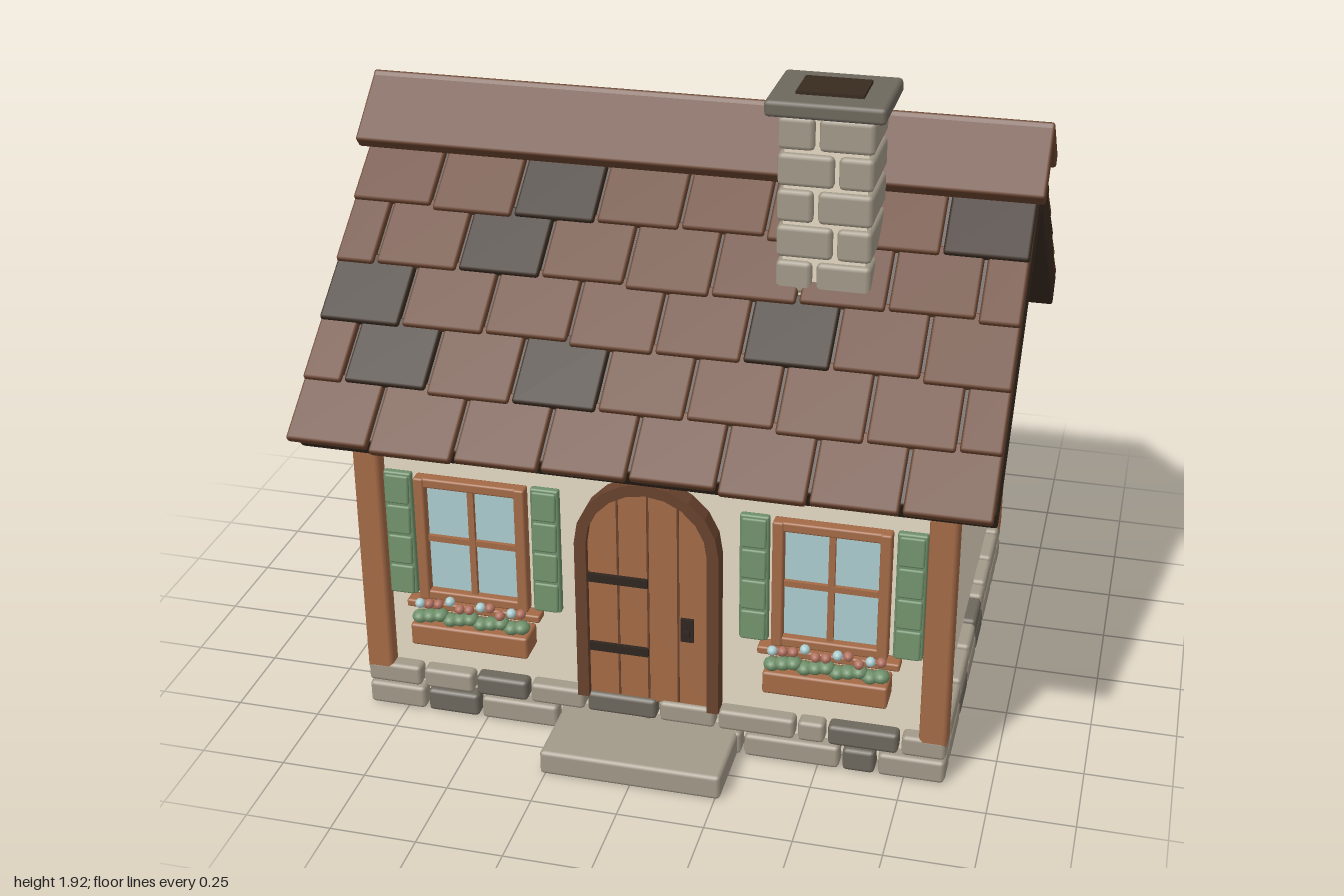
import * as THREE from 'three';
import { RoundedBoxGeometry } from 'three/addons/geometries/RoundedBoxGeometry.js';

const paint = (name, color) => Object.assign(new THREE.MeshStandardMaterial({ color }), { name });
const M = {
  wall: paint('plaster', 0xe5dac3),
  tile: paint('roof tile', 0x68422d),
  dark: paint('dark timber', 0x382a1f),
  wood: paint('warm wood', 0xa46a46),
  iron: paint('iron', 0x30261f),
  green: paint('shutter green', 0x6e8f69),
  glass: paint('glass', 0xaccdd0),
  stone: paint('stone', 0xa29988),
  slate: paint('dark stone', 0x6e685d),
  bloom: paint('blossom', 0xb0705e),
};

function add(parent, name, geometry, material, x = 0, y = 0, z = 0) {
  const mesh = new THREE.Mesh(geometry, material);
  mesh.name = name;
  mesh.position.set(x, y, z);
  parent.add(mesh);
  return mesh;
}
function group(parent, name, x = 0, y = 0, z = 0) {
  const g = new THREE.Group();
  g.name = name;
  g.position.set(x, y, z);
  parent.add(g);
  return g;
}
// Boxes given by their minimum and maximum on each axis
function box(parent, name, mat, [x0, x1], [y0, y1], [z0, z1], bevel = 0) {
  const size = [x1 - x0, y1 - y0, z1 - z0];
  const geo = bevel ? new RoundedBoxGeometry(...size, 1, bevel) : new THREE.BoxGeometry(...size);
  return add(parent, name, geo, mat, (x0 + x1) / 2, (y0 + y1) / 2, (z0 + z1) / 2);
}

const ZC = -0.01;                     // middle of the house in z
const PITCH = Math.atan(0.855);       // roof angle
const WALL_Z = ZC + 0.62;             // front wall plane

// A course of stones with relative widths; negative widths are dark stones
function course(parent, widths, length, y0, y1) {
  const total = widths.reduce((s, w) => s + Math.abs(w), 0);
  let x = -length / 2;
  for (const w of widths) {
    const len = Math.abs(w) / total * length;
    box(parent, 'foundationStone', w < 0 ? M.slate : M.stone, [x + 0.005, x + len - 0.005], [y0, y1], [-0.09, 0], 0.012);
    x += len;
  }
}

function buildFoundation(house) {
  const base = group(house, 'foundation', 0, 0, ZC);
  const lower = [34, -31, 45, 50, 52, 53, -19, 37], upper = [32, 30, -31, 32, -40, 32, 43, 16, -39, 25];
  const sideLower = [21, 44, -34, 38, -32, 43, 26, 21], sideUpper = [21, 42, 37, 29, -30, 17, 31, 34, 22];
  for (let i = 0; i < 4; i++) {
    const side = group(base, 'foundationSide');
    side.rotation.y = i * Math.PI / 2;
    const rows = group(side, 'courses', 0, 0, i % 2 ? 0.868 : 0.664);
    const length = i % 2 ? 1.328 : 1.744;
    course(rows, i % 2 ? sideLower : lower, length, 0.004, 0.076);
    course(rows, i % 2 ? sideUpper : upper, length, 0.083, 0.147);
  }
  box(house, 'floor', M.wall, [-0.82, 0.82], [0.02, 0.05], [ZC - 0.61, ZC + 0.61]);
  box(house, 'doorStep', M.stone, [-0.265, 0.265], [0, 0.076], [0.63, 0.873], 0.012);
}

function buildWalls(house) {
  const gable = new THREE.Shape([[-0.62, 0.04], [0.62, 0.04], [0.62, 1.06], [0, 1.6], [-0.62, 1.06]]
    .map(p => new THREE.Vector2(...p)));
  const geo = new THREE.ExtrudeGeometry(gable, { depth: 1.66, bevelEnabled: false });
  geo.translate(0, 0, -0.83).rotateY(Math.PI / 2);
  add(house, 'walls', geo, M.wall, 0, 0, ZC);
  for (const x of [-0.829, 0.829]) for (const z of [-0.623, 0.623])
    add(house, 'cornerPost', new RoundedBoxGeometry(0.08, 0.9, 0.08, 1, 0.012), M.wood, x, 0.57, z + ZC);
}

function buildRoof(house) {
  // Dark tiles for each row, counted from the eave up
  const darkTiles = [
    [[], [1, 3], [0, 5], [2], [2, 7]],
    [[7, 3, 2], [7], [1, 0], [8], [6, 5, 3, 0]],
  ];
  darkTiles.forEach((darkRows, back) => {
    const half = group(house, back ? 'roofBack' : 'roofFront', 0, 0, ZC + 0.002);
    half.rotation.y = back * Math.PI;
    const slope = group(half, 'slope', 0, 1.667, 0);
    slope.rotation.x = PITCH;
    box(slope, 'roofBoard', M.dark, [-0.978, 0.978], [-0.098, 0], [0, 1.065], 0.008);
    const cap = group(half, 'ridge', 0, 1.773, 0);
    cap.rotation.x = PITCH;
    box(cap, 'ridgeCap', M.tile, [-0.998, 0.998], [-0.046, 0], [-0.003, 0.238], 0.008);
    // Overlapping, slightly lifted tiles; every other row is shifted by half a tile
    darkRows.forEach((darks, r) => {
      const row = group(slope, 'tileRow', 0, 0.009, 1.102 - r * 0.19);
      row.rotation.x = -0.075;
      const pitch = 0.245, shift = r % 2 ? pitch / 2 : 0;
      for (let c = 0; c < (r % 2 ? 9 : 8); c++) {
        const x0 = Math.max(-0.98, -0.98 + c * pitch - shift);
        const x1 = Math.min(0.98, -0.98 + (c + 1) * pitch - shift);
        const uneven = 0.004 * ((c * 3 + r * 5) % 4 - 1.5);
        box(row, 'roofTile', darks.includes(c) ? M.dark : M.tile,
          [x0 + 0.005, x1 - 0.005], [0, 0.028], [-0.222, uneven], 0.008);
      }
    });
  });
}

function buildChimney(house) {
  const c = group(house, 'chimney', 0.43, 0, 0.27);
  box(c, 'chimneyCore', M.wall, [-0.115, 0.115], [1.3, 1.88], [-0.095, 0.095]);
  for (let i = 0; i < 6; i++) {
    const top = 1.862 - i * 0.103, split = i % 2 ? 0.03 : -0.025;
    box(c, 'chimneyStone', M.stone, [-0.132, split - 0.006], [top - 0.093, top], [-0.112, 0.112], 0.014);
    box(c, 'chimneyStone', M.stone, [split + 0.006, 0.132], [top - 0.093, top], [-0.112, 0.112], 0.014);
  }
  box(c, 'chimneyCap', M.slate, [-0.164, 0.164], [1.868, 1.914], [-0.145, 0.145], 0.012);
  box(c, 'flue', M.dark, [-0.092, 0.092], [1.9, 1.923], [-0.07, 0.07]);
}

// Arched outline; with an inner radius it becomes a band open at the bottom
function arch(r, bottom, spring, inner) {
  const s = new THREE.Shape();
  s.moveTo(r, bottom).lineTo(r, spring).absarc(0, spring, r, 0, Math.PI, false).lineTo(-r, bottom);
  if (inner) s.lineTo(-inner, bottom).lineTo(-inner, spring).absarc(0, spring, inner, Math.PI, 0, true).lineTo(inner, bottom);
  return s;
}

function buildDoor(house) {
  const d = group(house, 'door', 0, 0, WALL_Z);
  const extrude = (shape, depth) => new THREE.ExtrudeGeometry(shape, { depth, bevelEnabled: false, curveSegments: 5 });
  add(d, 'doorFrame', extrude(arch(0.21, 0.14, 0.652, 0.176), 0.052), M.tile);
  add(d, 'doorPanel', extrude(arch(0.178, 0.14, 0.652), 0.03), M.wood);
  for (const [x, top] of [[-0.088, 0.8], [0, 0.825], [0.088, 0.8]])
    box(d, 'plankGap', M.tile, [x - 0.003, x + 0.003], [0.15, top], [0.028, 0.032]);
  for (const y of [0.308, 0.537])
    box(d, 'hinge', M.iron, [-0.175, 0], [y - 0.013, y + 0.013], [0.028, 0.042]);
  box(d, 'lockPlate', M.iron, [0.096, 0.134], [0.363, 0.437], [0.028, 0.04]);
  box(d, 'handle', M.iron, [0.106, 0.124], [0.385, 0.402], [0.038, 0.05]);
}

function buildWindow(house, x) {
  const w = group(house, 'window', x, 0, WALL_Z);
  box(w, 'glassPane', M.glass, [-0.15, 0.15], [0.4, 0.78], [0, 0.012]);
  for (const s of [-1, 1]) {
    add(w, 'frameSide', new RoundedBoxGeometry(0.032, 0.4, 0.042, 1, 0.006), M.wood, s * 0.15, 0.59, 0.021);
    add(w, 'frameRail', new RoundedBoxGeometry(0.332, 0.03, 0.038, 1, 0.006), M.wood, 0, 0.59 + s * 0.185, 0.019);
    // Shutter with raised slats
    const shutter = group(w, 'shutter', s * 0.22, 0, 0);
    box(shutter, 'shutterBoard', M.green, [-0.042, 0.042], [0.393, 0.792], [0, 0.024], 0.006);
    for (let i = 0; i < 4; i++) {
      const slat = add(shutter, 'slat', new RoundedBoxGeometry(0.072, 0.088, 0.016, 1, 0.006), M.green, 0, 0.443 + i * 0.099, 0.026);
      slat.rotation.x = -0.1;
    }
  }
  box(w, 'mullion', M.wood, [-0.009, 0.009], [0.4, 0.78], [0, 0.026]);
  box(w, 'glazingBar', M.wood, [-0.15, 0.15], [0.58, 0.598], [0, 0.024]);
  box(w, 'sill', M.wood, [-0.203, 0.203], [0.364, 0.388], [0, 0.05], 0.006);
  // Flower box with leaves and blossoms
  box(w, 'flowerBox', M.wood, [-0.178, 0.178], [0.265, 0.335], [0, 0.095], 0.008);
  for (let i = 0; i < 11; i++) {
    const px = -0.155 + i * 0.031;
    const leaf = add(w, 'leaf', new THREE.IcosahedronGeometry(0.025, 1), M.green, px, 0.35 + (i % 3) * 0.006, 0.068);
    leaf.scale.y = 0.8;
    add(w, 'flower', new THREE.IcosahedronGeometry(0.015, 1), i % 3 ? M.bloom : M.glass,
      px, 0.392 + (i * 5 % 4) * 0.006, 0.066 + (i % 3) * 0.006);
  }
}

function buildGableWindow(house, side) {
  const w = group(house, 'gableWindow', side * 0.83, 1.281, ZC);
  w.rotation.y = side * Math.PI / 2;
  const ring = new THREE.Shape(), hole = new THREE.Path();
  ring.absarc(0, 0, 0.11, 0, Math.PI * 2);
  hole.absarc(0, 0, 0.081, 0, Math.PI * 2);
  ring.holes.push(hole);
  add(w, 'roundFrame', new THREE.ExtrudeGeometry(ring, { depth: 0.035, bevelEnabled: false, curveSegments: 6 }), M.wood);
  add(w, 'roundGlass', new THREE.CircleGeometry(0.09, 12), M.glass, 0, 0, 0.01);
  box(w, 'roundBar', M.wood, [-0.082, 0.082], [-0.007, 0.007], [0.005, 0.024]);
  box(w, 'roundBar', M.wood, [-0.007, 0.007], [-0.082, 0.082], [0.005, 0.025]);
}

export function createModel() {
  const house = new THREE.Group();
  house.name = 'cottage';
  buildFoundation(house);
  buildWalls(house);
  buildRoof(house);
  buildChimney(house);
  buildDoor(house);
  for (const s of [-1, 1]) {
    buildWindow(house, s * 0.524);
    buildGableWindow(house, s);
  }
  return house;
}
